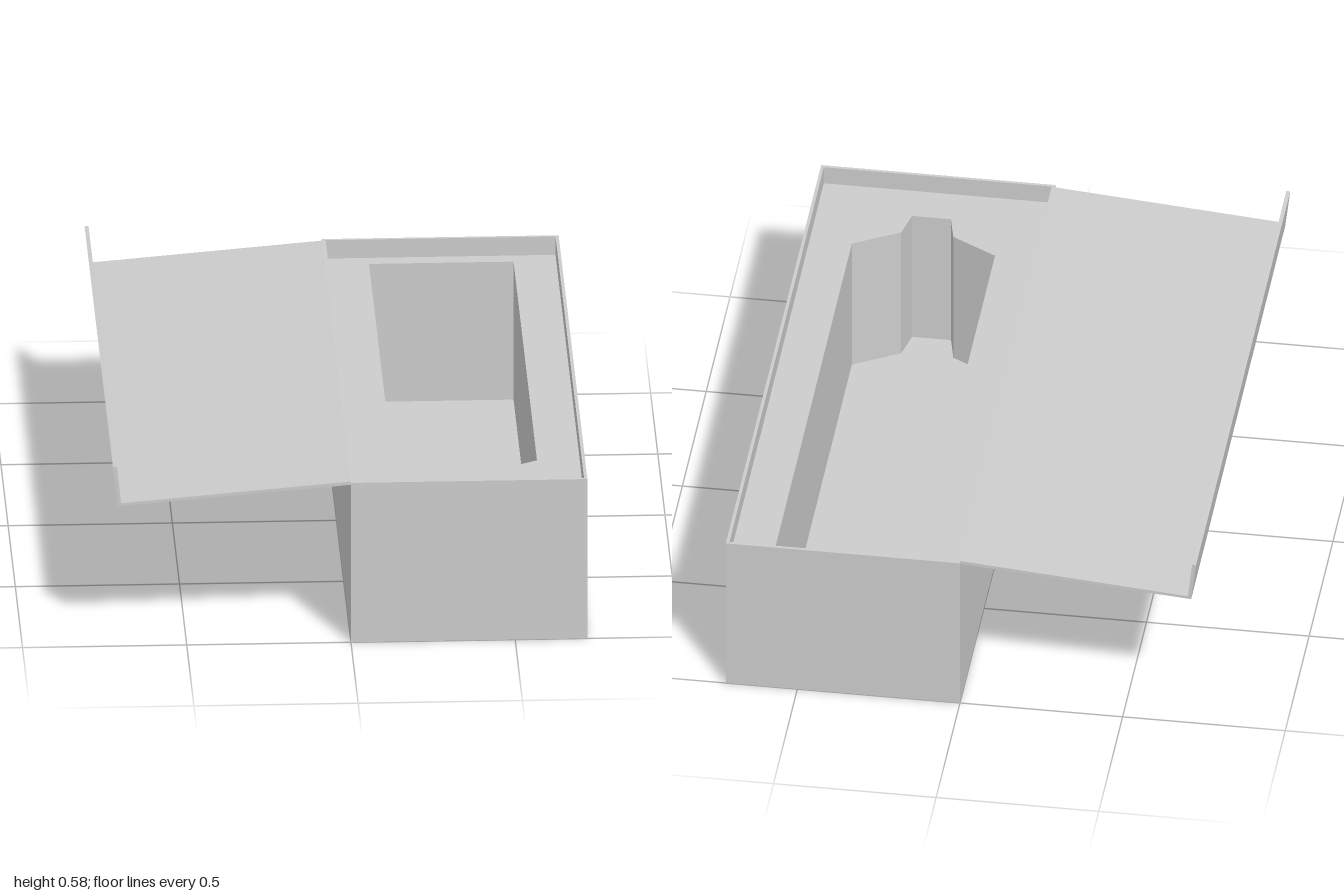
import * as THREE from 'three';

const W = 0.72, H = 0.522, L = 2, T = 0.01, RECESS = 0.06;
const points = (list) => list.map(([x, y]) => new THREE.Vector2(x, y));

export function createModel() {
  const group = new THREE.Group();
  const material = new THREE.MeshStandardMaterial({ color: 0xcccccc, flatShading: true });

  const add = (name, geometry) => {
    const mesh = new THREE.Mesh(geometry, material);
    mesh.name = name;
    group.add(mesh);
    return mesh;
  };
  const extrude = (outline, depth, hole) => {
    const shape = new THREE.Shape(points(outline));
    if (hole) shape.holes.push(new THREE.Path(points(hole)));
    return new THREE.ExtrudeGeometry(shape, { depth, bevelEnabled: false });
  };
  // Plan outlines are drawn as (x, -z) and extruded upwards
  const extrudeUp = (outline, y0, y1, hole) =>
    extrude(outline, y1 - y0, hole).rotateX(-Math.PI / 2).translate(0, y0, 0);
  const rect = (inset) => [
    [inset, -L / 2 + inset], [W - inset, -L / 2 + inset],
    [W - inset, L / 2 - inset], [inset, L / 2 - inset],
  ];

  // Thin-walled open box
  add('boxWalls', extrudeUp(rect(0), 0, H, rect(T)));
  add('boxFloor', extrudeUp(rect(T), 0, T));

  // Recessed insert with a bottle-shaped cutout
  const cutout = [
    [0.14, 0.94], [0.58, 0.94], [0.58, -0.69], [0.44, -0.77],
    [0.42, -0.86], [0.30, -0.86], [0.28, -0.77], [0.14, -0.69],
  ];
  add('insert', extrudeUp(rect(T), T, H - RECESS, cutout));

  // Opened lid with a turned-up front flap, hinged along the box edge
  const lid = extrude([
    [0, H], [0, H - 0.011], [-0.709, 0.453], [-0.724, 0.581], [-0.712, 0.583], [-0.699, 0.463],
  ], 1.976);
  add('lid', lid.translate(0, 0, -0.988));

  return group;
}
